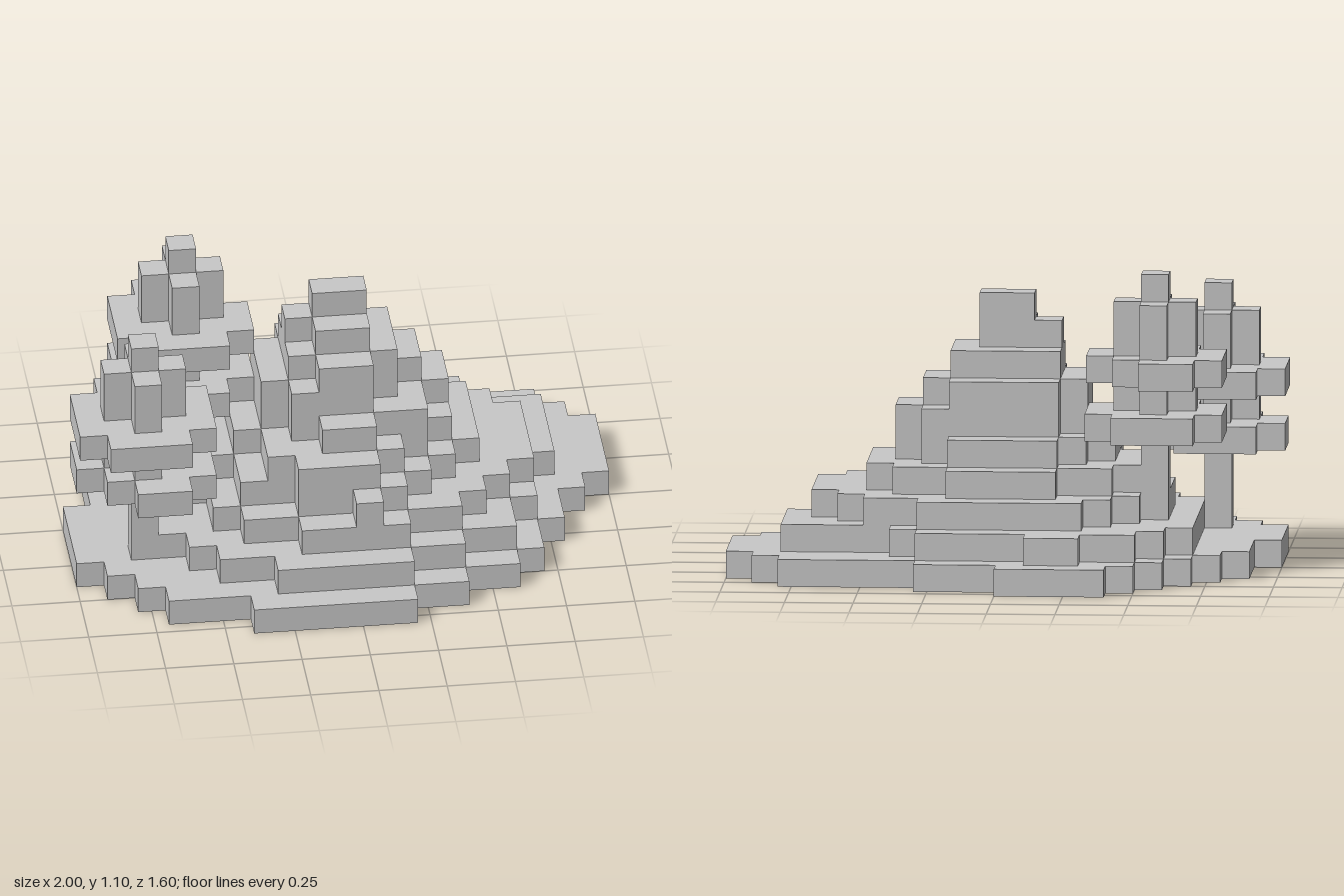
import * as THREE from 'three';

const U = 0.1; // size of one block

// Two broad foot terraces: first row z, then left and right reach of each row in blocks
const FEET = [
  { z0: -8, left: [4, 5, 6, 7, 8, 9, 9, 9, 10, 10, 10, 10, 9, 8, 7, 4],
    right: [0, 3, 8, 9, 10, 10, 10, 10, 9, 8, 8, 7, 7, 6, 4, 2] },
  { z0: -7, left: [3, 5, 6, 7, 7, 7, 7, 7, 7, 7, 7, 6, 5, 3],
    right: [-1, 3, 4, 8, 8, 8, 8, 7, 7, 7, 6, 6, 4, 2] },
];

// Rounded terraces above: reach to left, right, back and front of the summit
const ROUNDS = [
  [6, 7, 5, 6], [5, 5, 4, 5], [4, 4, 3, 5], [3, 4, 2, 4],
  [3, 3, 2, 3], [2, 2, 1, 3], [2, 1, 0, 2], [1, 1, 0, 1],
];

function inFoot({ z0, left, right }, x, z) {
  const i = z - z0;
  return i >= 0 && i < left.length && x >= -left[i] && x < right[i];
}

function inRound([left, right, back, front], x, z) {
  const cx = x + 0.5, cz = z + 0.5;
  const power = cx > 0 && cz > 0 ? 1.6 : 2; // the +x front corner is cut more diagonally
  const dx = Math.abs(cx) / (cx < 0 ? left : right);
  const dz = Math.abs(cz) / (cz < 0 ? back : front);
  return dx ** power + dz ** power < 1;
}

// Number of stacked blocks at a cell
function heightAt(x, z) {
  let h = 0;
  FEET.forEach((foot, i) => { if (inFoot(foot, x, z)) h = i + 1; });
  ROUNDS.forEach((round, i) => { if (inRound(round, x, z)) h = i + 3; });
  if (x === 0 && z === 5) h = 4; // single knob on the front slope
  return h;
}

// Open-bottomed skin of the stepped hill
function hillGeometry() {
  const pos = [];
  const quad = (a, b, c, d) => {
    for (const p of [a, b, c, a, c, d]) pos.push(p[0] * U, p[1] * U, p[2] * U);
  };
  for (let x = -10; x < 10; x++) {
    for (let z = -8; z < 8; z++) {
      const h = heightAt(x, z);
      if (!h) continue;
      const X = x + 1, Z = z + 1;
      quad([x, h, z], [x, h, Z], [X, h, Z], [X, h, z]);
      // Walls down to each lower neighbour, corners running left to right seen from outside
      const walls = [
        [heightAt(X, z), X, Z, X, z], [heightAt(x - 1, z), x, z, x, Z],
        [heightAt(x, Z), x, Z, X, Z], [heightAt(x, z - 1), X, z, x, z],
      ];
      for (const [n, ax, az, bx, bz] of walls) {
        if (n < h) quad([ax, n, az], [bx, n, bz], [bx, h, bz], [ax, h, az]);
      }
    }
  }
  const geo = new THREE.BufferGeometry();
  geo.setAttribute('position', new THREE.Float32BufferAttribute(pos, 3));
  geo.computeVertexNormals();
  return geo;
}

// Square leaf slab with stepped corners; cuts go back right, back left, front left, front right on screen
function leafGeometry(radius, layers, cuts = [1, 1, 1, 1]) {
  const a = radius + 0.5;
  const points = [];
  cuts.forEach((steps, quarter) => {
    const add = (x, y) => points.push(
      new THREE.Vector2(x * U, y * U).rotateAround(new THREE.Vector2(), quarter * Math.PI / 2));
    for (let k = 0; k < steps; k++) {
      add(a - k, a - steps + k);
      add(a - k - 1, a - steps + k);
    }
    add(a - steps, a);
  });
  return new THREE.ExtrudeGeometry(new THREE.Shape(points), { depth: layers * U, bevelEnabled: false })
    .rotateX(-Math.PI / 2);
}

function makeTree(name, x, y, z, material, lowerCuts, upperCuts) {
  const tree = new THREE.Group();
  tree.name = name;
  tree.position.set(x, y, z);
  const add = (part, geo, level) => {
    const mesh = new THREE.Mesh(geo, material);
    mesh.name = part;
    mesh.position.y = level * U;
    tree.add(mesh);
  };
  add('trunk', new THREE.BoxGeometry(U, 3 * U, U), 1.5);
  add('lowerCanopy', leafGeometry(2, 1, lowerCuts), 3);
  add('middleLeaves', leafGeometry(1, 1), 4);
  add('upperCanopy', leafGeometry(2, 1, upperCuts), 5);
  add('crown', leafGeometry(1, 2), 6);
  add('treeTip', new THREE.BoxGeometry(U, U, U), 8.5);
  return tree;
}

export function createModel() {
  const model = new THREE.Group();
  model.name = 'hillWithTrees';
  const stone = new THREE.MeshStandardMaterial({ color: 0xc8c8c8, side: THREE.DoubleSide });
  stone.name = 'lightGrey';

  const hill = new THREE.Mesh(hillGeometry(), stone);
  hill.name = 'steppedHill';
  model.add(hill);

  model.add(makeTree('frontTree', -0.75, 0.1, 0.35, stone, [1, 1, 2, 1], [1, 1, 1, 1]));
  model.add(makeTree('backTree', -0.55, 0.2, -0.15, stone, [1, 1, 1, 1], [2, 1, 1, 1]));
  return model;
}
